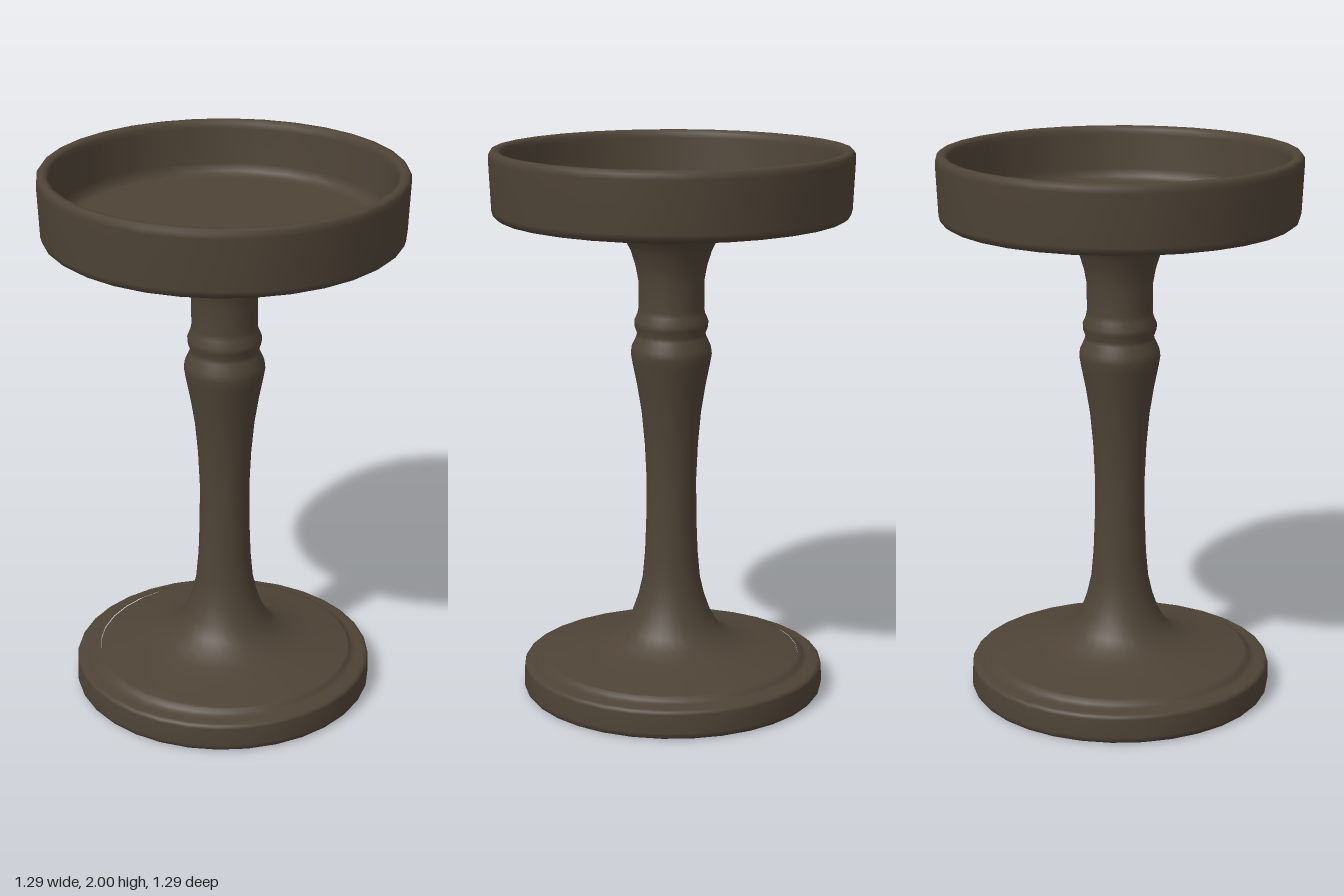
import * as THREE from 'three';

const SIDES = 32;

export function createModel() {
  const model = new THREE.Group();
  model.name = 'pedestalDish';
  const darkBronze = new THREE.MeshStandardMaterial({ color: 0x4e4336 });
  darkBronze.name = 'darkBronze';

  // Turned part from [radius, height] pairs, listed upward along the outside
  function turned(name, profile, offsetX = 0) {
    const points = profile.map(([r, y]) => new THREE.Vector2(r, y));
    const mesh = new THREE.Mesh(new THREE.LatheGeometry(points, SIDES), darkBronze);
    mesh.name = name;
    mesh.position.x = offsetX;
    model.add(mesh);
  }

  // Round foot with softened edges and a small raised step
  turned('foot', [
    [0, 0], [0.53, 0], [0.545, 0.003], [0.552, 0.012], [0.554, 0.025],
    [0.552, 0.092], [0.548, 0.102], [0.538, 0.107], [0.51, 0.109],
    [0.495, 0.112], [0.485, 0.12], [0.477, 0.13], [0.465, 0.134],
  ], -0.004);

  // Foot slope flaring into a slender stem with a knop and bead
  turned('stem', [
    [0.47, 0.132], [0.42, 0.142], [0.34, 0.157], [0.27, 0.175], [0.215, 0.2],
    [0.175, 0.235], [0.145, 0.285], [0.122, 0.35], [0.106, 0.42], [0.097, 0.52],
    [0.092, 0.65], [0.091, 0.8], [0.097, 0.93], [0.108, 1.05], [0.124, 1.15],
    [0.14, 1.23], [0.146, 1.265], [0.143, 1.29], [0.127, 1.325], [0.123, 1.34],
    [0.132, 1.365], [0.133, 1.385], [0.122, 1.41], [0.118, 1.43], [0.118, 1.53],
    [0.128, 1.585], [0.145, 1.64], [0.168, 1.685], [0.192, 1.705], [0.23, 1.717],
  ], 0.003);

  // Shallow dish: underside, outer wall, rounded rim, inner wall and floor
  turned('dish', [
    [0.19, 1.704], [0.23, 1.717], [0.4, 1.736], [0.59, 1.756], [0.618, 1.762],
    [0.632, 1.772], [0.637, 1.79], [0.645, 1.97], [0.643, 1.988], [0.636, 1.998],
    [0.622, 2], [0.61, 1.997], [0.604, 1.988], [0.6, 1.97], [0.592, 1.84],
    [0.585, 1.812], [0.57, 1.799], [0.545, 1.795], [0, 1.795],
  ]);

  return model;
}
